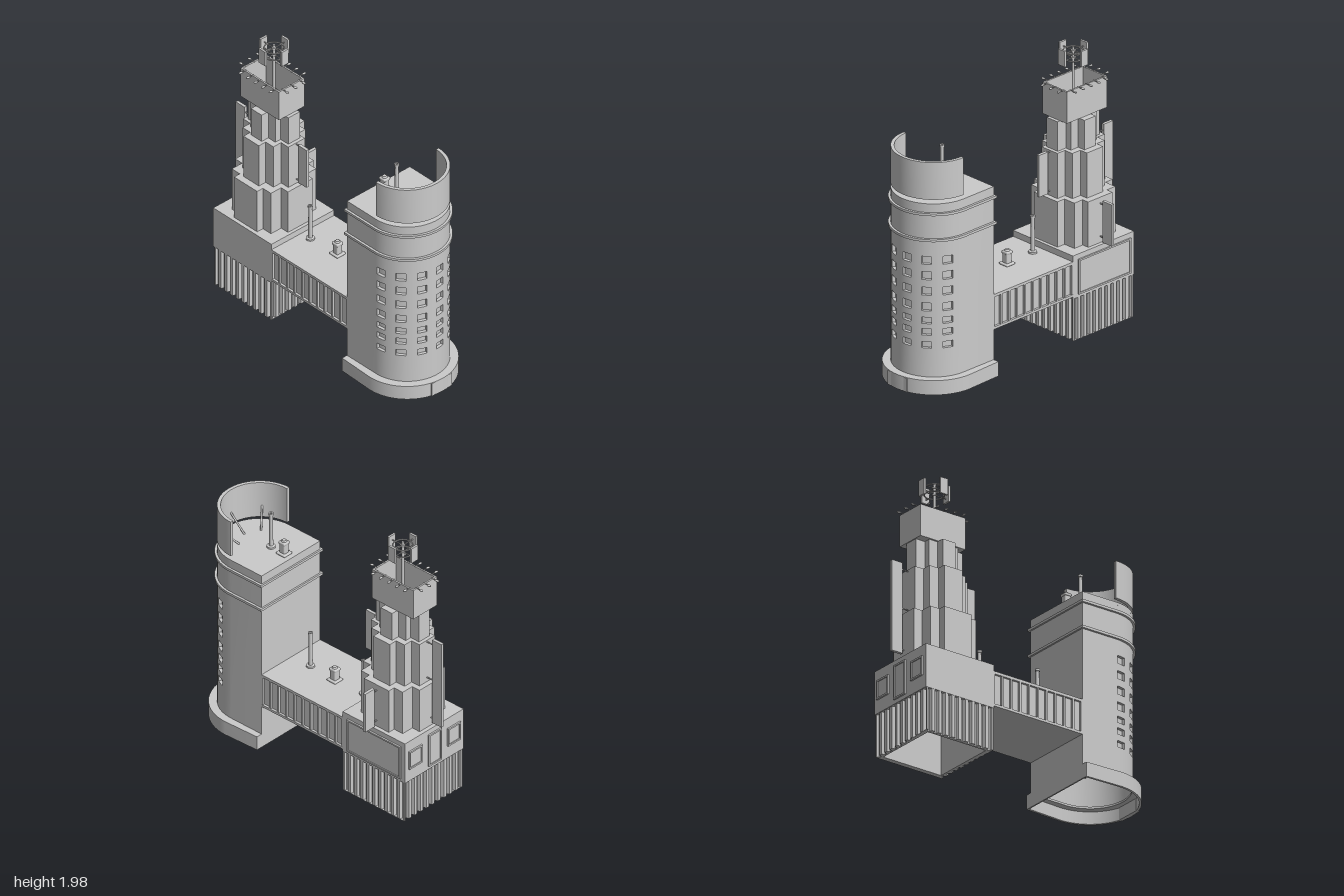
import * as THREE from 'three';
import { toCreasedNormals } from 'three/addons/utils/BufferGeometryUtils.js';
import { RoundedBoxGeometry } from 'three/addons/geometries/RoundedBoxGeometry.js';

const mat = new THREE.MeshStandardMaterial({ color: 0xcccccc, side: THREE.DoubleSide });
const V = (x, y, z) => new THREE.Vector3(x, y, z);

export function createModel() {
  const group = new THREE.Group();
  const model = new THREE.Group();
  model.name = 'towers';
  model.position.x = -0.017;
  group.add(model);

  function add(name, geo, x = 0, y = 0, z = 0) {
    const m = new THREE.Mesh(geo, mat);
    m.name = name;
    m.position.set(x, y, z);
    model.add(m);
    return m;
  }
  // box given by its min/max extents
  function box(name, x0, x1, y0, y1, z0, z1) {
    return add(name, new THREE.BoxGeometry(x1 - x0, y1 - y0, z1 - z0), (x0 + x1) / 2, (y0 + y1) / 2, (z0 + z1) / 2);
  }
  function rod(name, a, b, r, sides = 8) {
    const d = b.clone().sub(a);
    const m = add(name, new THREE.CylinderGeometry(r, r, d.length(), sides));
    m.position.copy(a).add(b).multiplyScalar(0.5);
    m.quaternion.setFromUnitVectors(V(0, 1, 0), d.normalize());
    return m;
  }
  // plan outline (shape y = -z) raised from y0 to y1
  function slab(name, shape, y0, y1, hole) {
    if (hole) shape.holes.push(hole);
    const g = new THREE.ExtrudeGeometry(shape, { depth: y1 - y0, bevelEnabled: false, curveSegments: 32 });
    g.rotateX(-Math.PI / 2);
    return add(name, toCreasedNormals(g, 0.4), 0, y0, 0);
  }
  function rect(hx, hz, zc) {
    return new THREE.Shape([[-hx, -hz], [hx, -hz], [hx, hz], [-hx, hz]].map(([x, z]) => new THREE.Vector2(x, z - zc)));
  }
  function uShape(r, back, halfBack = r) {
    const s = new THREE.Shape();
    s.moveTo(halfBack, -back);
    s.lineTo(r, -ZC);
    s.absarc(0, -ZC, r, 0, -Math.PI, true);
    s.lineTo(-halfBack, -back);
    s.closePath();
    return s;
  }

  // ---- Front tower: round-fronted wall with recessed windows ----
  const ZC = 0.655, R = 0.285, BACK = 0.375, TOP = 1.37, RAD = Math.PI / 180;
  const angles = [-90], levels = [0.1];
  for (let k = -3; k <= 2; k++) angles.push(6.9 + 29.3 * k - 6.9, 6.9 + 29.3 * k + 6.9);
  angles.push(90);
  [0.338, 0.432, 0.516, 0.615, 0.73, 0.843, 0.955].forEach((y, i) => {
    const h = i < 3 ? 0.023 : 0.029;
    levels.push(y - h, y + h);
  });
  levels.push(TOP);
  const pos = [];
  const quad = (a, b, c, d) => [a, b, c, a, c, d].forEach(p => pos.push(p.x, p.y, p.z));
  const at = (deg, y, r) => V(r * Math.sin(deg * RAD), y, ZC + r * Math.cos(deg * RAD));
  for (let i = 0; i + 1 < angles.length; i++) {
    for (let j = 0; j + 1 < levels.length; j++) {
      const win = i % 2 && j % 2, r = win ? R - 0.022 : R;
      const [y0, y1] = [levels[j], levels[j + 1]];
      const [s, e] = [angles[i], angles[i + 1]];
      for (let k = 0; k < 3; k++) {
        const a = s + (e - s) * k / 3, b = s + (e - s) * (k + 1) / 3;
        quad(at(a, y0, r), at(b, y0, r), at(b, y1, r), at(a, y1, r));
        if (!win) continue;
        quad(at(a, y0, R), at(b, y0, R), at(b, y0, r), at(a, y0, r));
        quad(at(a, y1, r), at(b, y1, r), at(b, y1, R), at(a, y1, R));
      }
      if (win) {
        quad(at(s, y0, R), at(s, y0, r), at(s, y1, r), at(s, y1, R));
        quad(at(e, y0, r), at(e, y0, R), at(e, y1, R), at(e, y1, r));
      }
    }
  }
  // flat sides and back
  const plan = [[R, ZC], [R, BACK], [-R, BACK], [-R, ZC]];
  for (let i = 0; i < 3; i++) {
    const [[x0, z0], [x1, z1]] = [plan[i], plan[i + 1]];
    quad(V(x0, 0.1, z0), V(x1, 0.1, z1), V(x1, TOP, z1), V(x0, TOP, z0));
  }
  const wall = new THREE.BufferGeometry();
  wall.setAttribute('position', new THREE.Float32BufferAttribute(pos, 3));
  add('towerWall', toCreasedNormals(wall, 0.4));
  slab('towerRoof', uShape(R, BACK), TOP - 0.02, TOP);
  for (const y of [1.107, 1.297]) slab('towerBand', uShape(0.302, 0.363), y - 0.009, y + 0.009);

  // hollow base plinth with door
  slab('basePlinth', uShape(0.342, 0.375, 0.33), 0, 0.09, uShape(0.325, 0.385, 0.313));
  slab('baseLedge', uShape(0.342, 0.375, 0.33), 0.09, 0.105, uShape(R - 0.01, 0.385));
  box('door', -0.09, 0.09, 0, 0.102, 0.965, 0.992);

  // curved crown screen on inclined struts
  const crown = new THREE.Shape();
  crown.moveTo(R, -ZC);
  crown.absarc(0, -ZC, R, 0, -Math.PI, true);
  crown.lineTo(-R + 0.024, -ZC);
  crown.absarc(0, -ZC, R - 0.024, -Math.PI, 0, false);
  crown.closePath();
  slab('crownScreen', crown, 1.4, 1.672);
  for (const a of [-50, 0, 50]) rod('crownStrut', at(a, TOP, 0.14), at(a, 1.49, 0.268), 0.007);

  // ---- Roof pipes and vents ----
  const pipe = (x, y, z) => {
    const pts = [[0.03, 0], [0.03, 0.012], [0.015, 0.016], [0.013, 0.255], [0.017, 0.257], [0.017, 0.272], [0.008, 0.272], [0.008, 0.2]];
    add('roofPipe', toCreasedNormals(new THREE.LatheGeometry(pts.map(p => new THREE.Vector2(...p)), 16), 0.6), x, y, z);
  };
  const vent = (x, y, z) => {
    add('ventBase', new RoundedBoxGeometry(0.08, 0.016, 0.08, 2, 0.007), x, y + 0.008, z);
    add('ventBody', new RoundedBoxGeometry(0.048, 0.08, 0.048, 2, 0.008), x, y + 0.05, z);
    add('ventCap', new RoundedBoxGeometry(0.058, 0.022, 0.058, 2, 0.008), x, y + 0.09, z);
    add('ventTop', new THREE.CylinderGeometry(0.014, 0.02, 0.012, 16), x, y + 0.106, z);
  };
  pipe(-0.011, TOP, 0.565);
  pipe(-0.011, 0.58, 0.207);
  pipe(-0.011, 0.58, -0.275);
  vent(-0.011, TOP, 0.447);
  vent(0.002, 0.58, -0.025);

  // ---- Bridge with panelled sides ----
  box('bridgeBody', -0.268, 0.268, 0.326, 0.578, -0.37, 0.385);
  box('bridgeRoof', -R, R, 0.56, 0.58, -0.37, 0.38);
  box('bridgeFloor', -R, R, 0.324, 0.342, -0.37, 0.38);
  for (const s of [-1, 1]) {
    for (let i = 0; i <= 10; i++) {
      const p = add('bridgePost', new THREE.BoxGeometry(0.02, 0.23, 0.014), s * 0.274, 0.451, 0.375 - i * 0.0735);
      p.scale.z = i % 10 ? 1 : 1.4;
    }
  }

  // ---- Rear building: corrugated lower walls ----
  const T = -0.64;
  const corners = [[R - 0.002, 0.277], [-R + 0.002, 0.277], [-R + 0.002, -0.277], [R - 0.002, -0.277]];
  const outline = [];
  corners.forEach(([x0, y0], c) => {
    const [x1, y1] = corners[(c + 1) % 4], n = 10;
    const len = Math.hypot(x1 - x0, y1 - y0), dx = (x1 - x0) / len, dy = (y1 - y0) / len;
    const put = (t, d) => outline.push(new THREE.Vector2(x0 + dx * t - dy * d, y0 + dy * t + dx * d - T));
    put(0, 0);
    for (let i = 0; i < n; i++) {
      const t = (i + 0.5) * len / n, w = len / n;
      put(t - w * 0.28, 0); put(t - w * 0.18, 0.022); put(t + w * 0.18, 0.022); put(t + w * 0.28, 0);
    }
  });
  slab('corrugatedWalls', new THREE.Shape(outline), 0, 0.31, rect(0.245, 0.24, T));
  box('upperHall', -R, R, 0.308, 0.624, -0.925, -0.36);

  // framed panels: one on the left side, three at the back
  function frame(name, w, h, x, y, z, turn) {
    const g = new THREE.Group();
    g.name = name;
    const t = 0.012;
    for (const s of [-1, 1]) {
      const a = new THREE.Mesh(new THREE.BoxGeometry(w, t, 0.024), mat);
      a.position.y = s * (h - t) / 2;
      const b = new THREE.Mesh(new THREE.BoxGeometry(t, h, 0.024), mat);
      b.position.x = s * (w - t) / 2;
      g.add(a, b);
    }
    const pane = new THREE.Mesh(new THREE.BoxGeometry(w - t, h - t, 0.01), mat);
    g.add(pane);
    g.position.set(x, y, z);
    g.rotation.y = turn;
    model.add(g);
  }
  frame('sideFrame', 0.485, 0.255, 0.285, 0.459, -0.648, Math.PI / 2);
  frame('backDoorFrame', 0.125, 0.25, 0, 0.461, -0.925, 0);
  for (const s of [-1, 1]) frame('backWindowFrame', 0.125, 0.14, s * 0.187, 0.475, -0.925, 0);

  // ---- Stepped cross-plan tower: y range, x arm, z arm, corner block ----
  const stages = [
    [0.624, 0.955, [0.257, 0.112], [0.112, 0.256], [0.205, 0.19]],
    [0.955, 1.285, [0.207, 0.075], [0.075, 0.22], [0.145, 0.15]],
    [1.285, 1.5, [0.16, 0.052], [0.052, 0.195], [0.1, 0.12]],
  ];
  for (const [y0, y1, ...blocks] of stages)
    for (const [hx, hz] of blocks) box('towerStage', -hx, hx, y0, y1, T - hz, T + hz);

  // open top box
  const P = -0.655, PX = 0.115, PZ = 0.187;
  slab('topParapet', rect(PX, PZ, P), 1.5, 1.73, rect(PX - 0.012, PZ - 0.012, P));
  box('topFloor', -PX + 0.01, PX - 0.01, 1.5, 1.512, P - PZ + 0.01, P + PZ - 0.01);

  // lamps around the rim
  const lamp = (x, z, dx, dz) => {
    rod('lampArm', V(x - dx * 0.015, 1.73, z - dz * 0.015), V(x + dx * 0.03, 1.73, z + dz * 0.03), 0.0035, 6);
    const k = add('lampHead', new THREE.SphereGeometry(0.01, 10, 6), x + dx * 0.036, 1.73, z + dz * 0.036);
    k.scale.set(1 + 0.7 * Math.abs(dx), 0.7, 1 + 0.7 * Math.abs(dz));
  };
  for (const s of [-1, 1]) {
    for (let i = -2; i <= 2; i++) lamp(s * PX, P + i * 0.073, s, 0);
    for (let i = -1; i <= 1; i++) lamp(i * 0.077, P + s * PZ, 0, s);
  }

  // ---- Mast with four antenna panels ----
  rod('mast', V(0, 1.51, T), V(0, 1.97, T), 0.01, 12);
  for (const y of [1.892, 1.944]) {
    const ring = add('antennaRing', new THREE.TorusGeometry(0.068, 0.005, 6, 24), 0, y, T);
    ring.rotation.x = Math.PI / 2;
    add('antennaHub', new THREE.CylinderGeometry(0.018, 0.018, 0.014, 12), 0, y, T);
    for (let i = 0; i < 4; i++) {
      const a = i * Math.PI / 2, c = Math.cos(a), s = Math.sin(a);
      rod('antennaArm', V(0, y, T), V(c * 0.1, y, T + s * 0.1), 0.004, 6);
    }
  }
  for (let i = 0; i < 4; i++) {
    const a = i * Math.PI / 2;
    const p = add('antennaPanel', new THREE.BoxGeometry(0.063, 0.115, 0.015), Math.sin(a) * 0.102, 1.922, T + Math.cos(a) * 0.102);
    p.rotation.y = a;
  }

  // ---- Vertical sign blades on brackets ----
  box('frontBlade', -0.011, 0.011, 0.977, 1.283, -0.395, -0.313);
  box('rearBlade', -0.011, 0.011, 0.655, 1.318, -1.0, -0.915);
  box('sideBlade', 0.287, 0.377, 0.637, 0.94, T - 0.011, T + 0.011);
  for (const y of [0.988, 1.272]) rod('bladeBracket', V(0, y, -0.44), V(0, y, -0.39), 0.005, 6);
  for (const y of [0.685, 0.988, 1.272]) rod('bladeBracket', V(0, y, -0.84), V(0, y, -0.92), 0.005, 6);
  for (const y of [0.67, 0.91]) rod('bladeBracket', V(0.25, y, T), V(0.29, y, T), 0.005, 6);

  return group;
}
